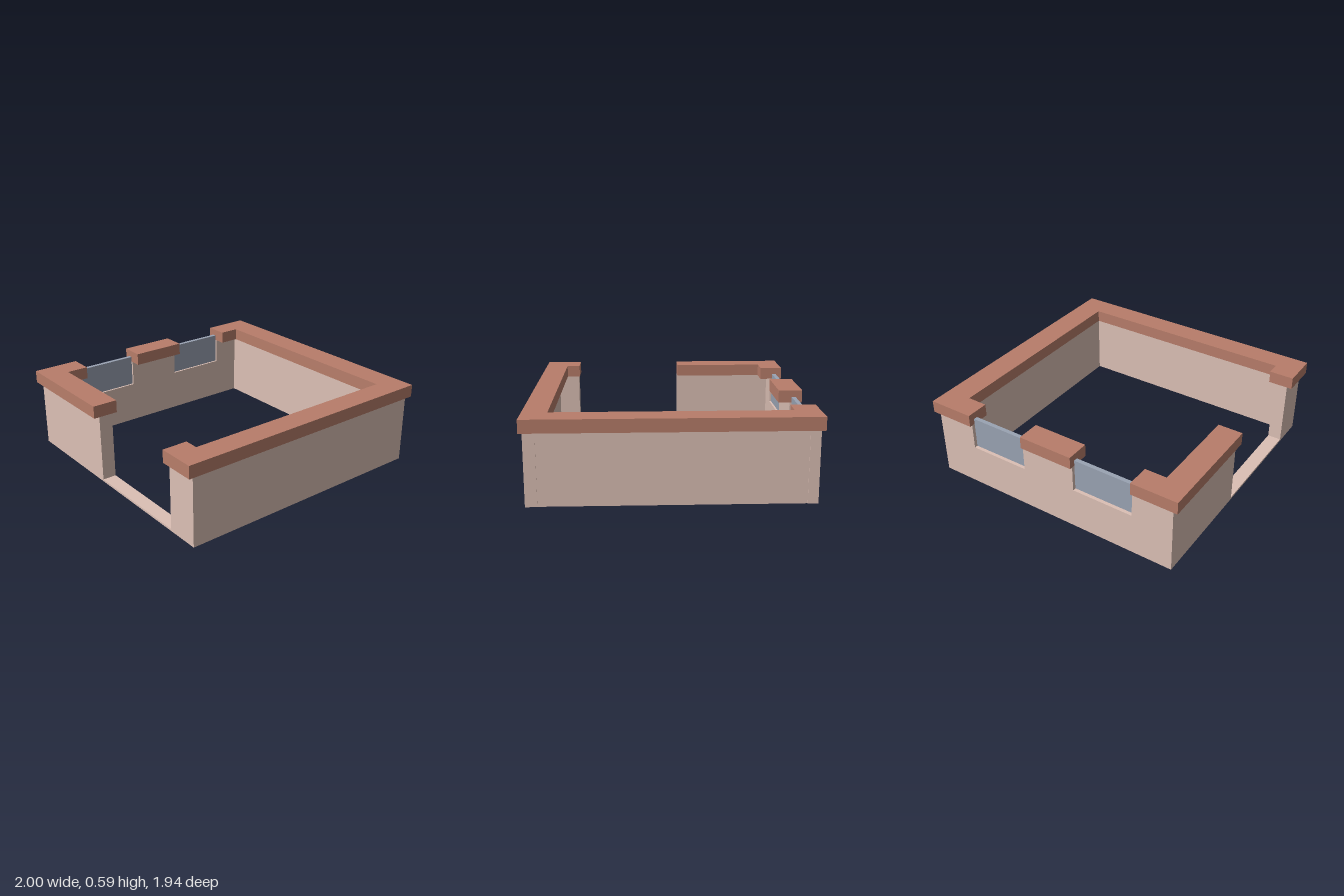
import * as THREE from 'three';

const wallMat = new THREE.MeshStandardMaterial({ color: 0xdcc0b5 });
const capMat = new THREE.MeshStandardMaterial({ color: 0xb87d6a });
const glassMat = new THREE.MeshStandardMaterial({ color: 0x9aa3b3 });

const WALL_H = 0.5, CAP_H = 0.09, SILL_H = 0.31;

// Box given by its min and max on each axis
function box(name, mat, [x0, x1], [y0, y1], [z0, z1]) {
  const mesh = new THREE.Mesh(new THREE.BoxGeometry(x1 - x0, y1 - y0, z1 - z0), mat);
  mesh.position.set((x0 + x1) / 2, (y0 + y1) / 2, (z0 + z1) / 2);
  mesh.name = name;
  return mesh;
}

function extrude(name, mat, points, depth) {
  const shape = new THREE.Shape(points.map(([x, y]) => new THREE.Vector2(x, y)));
  const geo = new THREE.ExtrudeGeometry(shape, { depth, bevelEnabled: false });
  const mesh = new THREE.Mesh(geo, mat);
  mesh.name = name;
  return mesh;
}

// Coping slab from a plan outline in x and z
function coping(name, plan) {
  const mesh = extrude(name, capMat, plan.map(([x, z]) => [x, -z]), CAP_H);
  mesh.geometry.rotateX(-Math.PI / 2);
  mesh.position.y = WALL_H;
  return mesh;
}

export function createModel() {
  const model = new THREE.Group();
  model.name = 'parapetRoom';
  const windows = [[-0.66, -0.2], [0.21, 0.66]];

  // Back wall with a notch for each window
  const outline = [[-0.96, 0], [0.96, 0], [0.96, WALL_H]];
  for (const [a, b] of [...windows].reverse())
    outline.push([b, WALL_H], [b, SILL_H], [a, SILL_H], [a, WALL_H]);
  outline.push([-0.96, WALL_H]);
  const backWall = extrude('backWall', wallMat, outline, 0.07);
  backWall.position.z = -0.95;
  model.add(backWall);

  // Front and side walls, with a low threshold in the doorway
  model.add(
    box('frontWall', wallMat, [-0.96, 0.96], [0, WALL_H], [0.87, 0.95]),
    box('leftWall', wallMat, [0.86, 0.955], [0, WALL_H], [-0.88, 0.87]),
    box('rightWallBack', wallMat, [-0.96, -0.86], [0, WALL_H], [-0.88, -0.12]),
    box('rightWallFront', wallMat, [-0.96, -0.86], [0, WALL_H], [0.71, 0.87]),
    box('doorThreshold', wallMat, [-0.96, -0.86], [0, 0.015], [-0.12, 0.71])
  );

  // Window panes
  for (const x of windows)
    model.add(box('windowPane', glassMat, x, [SILL_H, 0.54], [-0.925, -0.895]));

  // Copings on top of the walls, broken at the windows and the doorway
  model.add(
    coping('mainCoping', [
      [0.66, -0.97], [1, -0.97], [1, 0.97], [-1, 0.97], [-1, 0.7],
      [-0.82, 0.7], [-0.82, 0.8], [0.81, 0.8], [0.81, -0.8], [0.66, -0.8]
    ]),
    coping('cornerCoping', [
      [-1, -0.97], [-0.66, -0.97], [-0.66, -0.8],
      [-0.82, -0.8], [-0.82, -0.12], [-1, -0.12]
    ]),
    coping('middleCoping', [[-0.2, -0.97], [0.21, -0.97], [0.21, -0.8], [-0.2, -0.8]])
  );
  return model;
}
